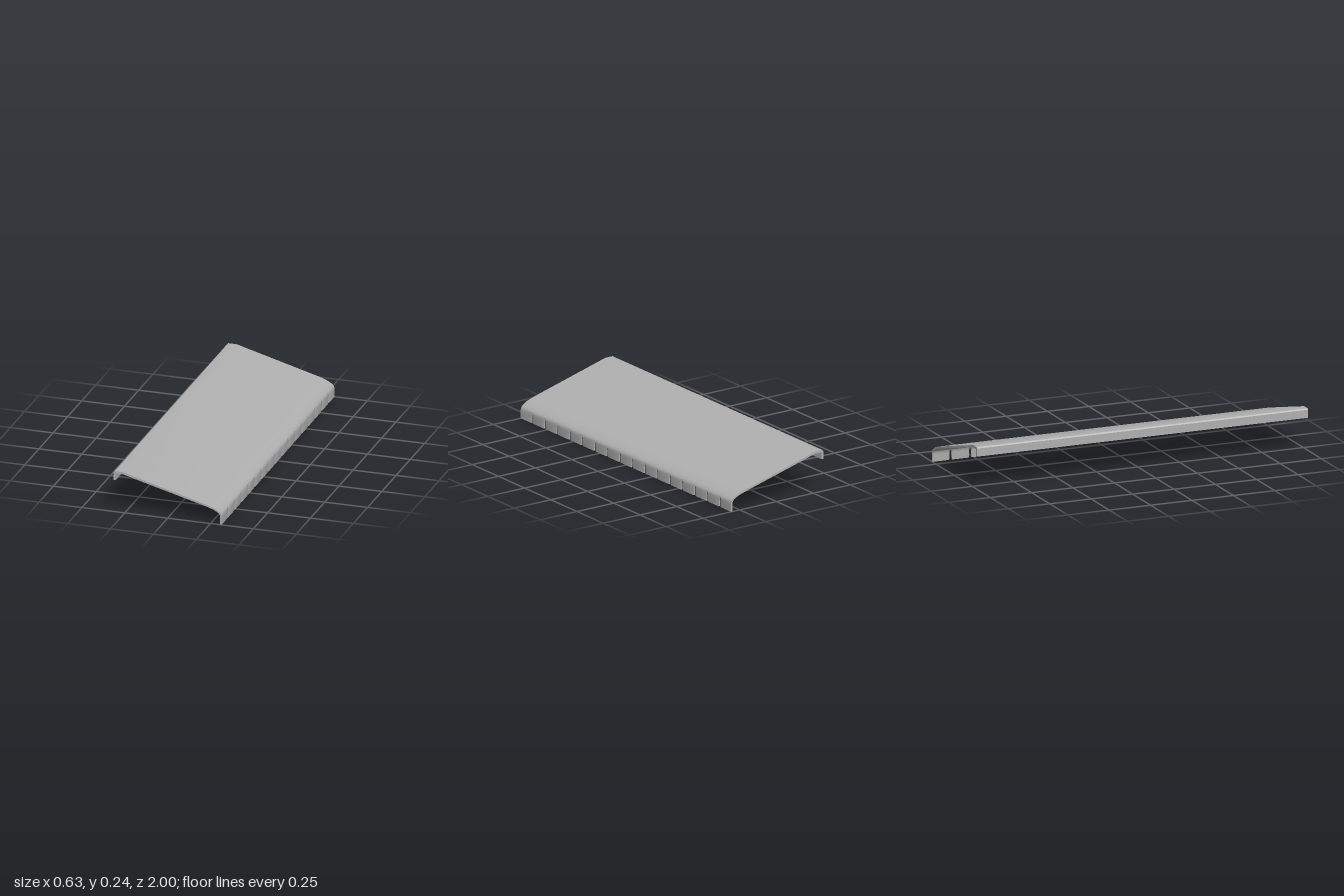
import * as THREE from 'three';
import { toCreasedNormals } from 'three/addons/utils/BufferGeometryUtils.js';

const LENGTH = 2, SLOTS = 16, PITCH = 0.1187, HALF_SLOT = 0.008;

// Sheet cross-section from the rear lip to the start of the slotted lip
const coverProfile = [
  [-0.317, 0.188], [-0.317, 0.234], [-0.31, 0.241], [-0.262, 0.241],
  [0.225, 0.108], [0.266, 0.094], [0.296, 0.076], [0.304, 0.069], [0.308, 0.063],
  [0.299, 0.06], [0.292, 0.069], [0.262, 0.085], [0.222, 0.098],
  [-0.262, 0.228], [-0.304, 0.228], [-0.304, 0.188],
];

// Cross-section of the lip that is cut into tabs
const tabProfile = [
  [0.308, 0.063], [0.311, 0.056], [0.312, 0.045], [0.312, 0],
  [0.304, 0], [0.303, 0.045], [0.302, 0.054], [0.299, 0.06],
];

// Extrudes a profile between two z positions
function sheet(profile, z0, z1) {
  const shape = new THREE.Shape(profile.map(([x, y]) => new THREE.Vector2(x, y)));
  return new THREE.ExtrudeGeometry(shape, { depth: z1 - z0, bevelEnabled: false, steps: 1 })
    .translate(0, 0, z0);
}

// Moves each vertex by a rule, then smooths the gentle bends
function finish(geometry, rule) {
  const p = geometry.attributes.position;
  const v = new THREE.Vector3();
  for (let i = 0; i < p.count; i++) {
    v.fromBufferAttribute(p, i);
    rule(v);
    // the sheet widens very slightly towards the front
    v.x += v.z * (v.x > 0.2 ? 0.003 : 0.001);
    p.setXYZ(i, v.x, v.y, v.z);
  }
  return toCreasedNormals(geometry, 0.6);
}

export function createModel() {
  const group = new THREE.Group();
  group.name = 'slottedCover';
  const grey = new THREE.MeshStandardMaterial({ color: 0xb0b0b0 });
  grey.name = 'light grey';

  const cover = new THREE.Mesh(finish(sheet(coverProfile, -LENGTH / 2, LENGTH / 2), () => {}), grey);
  cover.name = 'coverSheet';
  group.add(cover);

  // Tabs between the slots; they flare at the top to round off each slot
  const tabs = new THREE.Group();
  tabs.name = 'lipTabs';
  const slotZ = (i) => (i - (SLOTS - 1) / 2) * PITCH;
  for (let i = 0; i <= SLOTS; i++) {
    const first = i === 0, last = i === SLOTS;
    const z0 = first ? -LENGTH / 2 : slotZ(i - 1) + HALF_SLOT;
    const z1 = last ? LENGTH / 2 : slotZ(i) - HALF_SLOT;
    const middle = (z0 + z1) / 2;
    const geometry = finish(sheet(tabProfile, z0, z1), (v) => {
      const flare = v.y > 0.058 ? 0.005 : v.y > 0.05 ? 0.002 : 0;
      if (v.z > middle && !last) v.z += flare;
      else if (v.z < middle && !first) v.z -= flare;
    });
    const tab = new THREE.Mesh(geometry, grey);
    tab.name = 'lipTab';
    tabs.add(tab);
  }
  group.add(tabs);
  return group;
}
